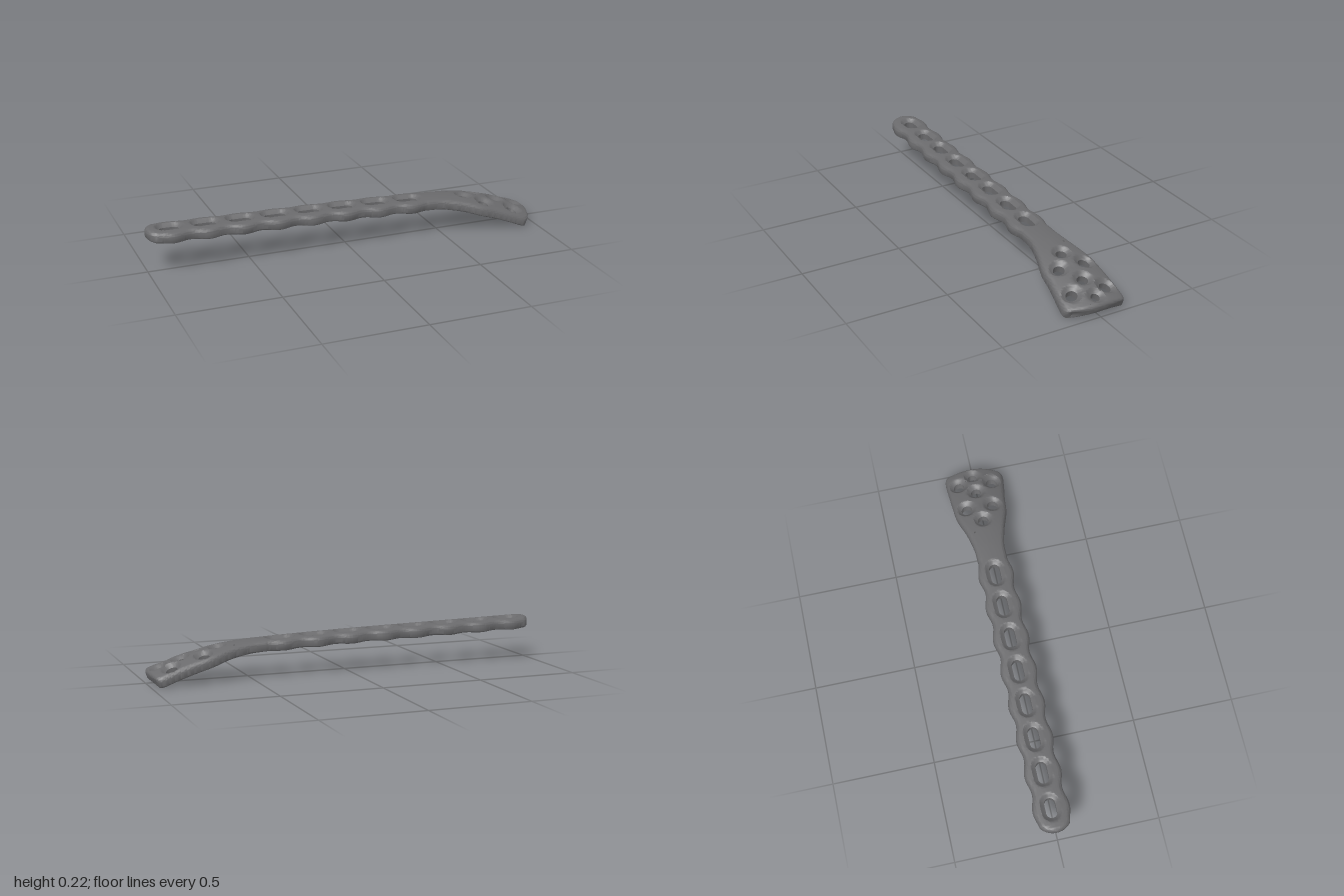
import * as THREE from 'three';
import { toCreasedNormals } from 'three/addons/utils/BufferGeometryUtils.js';

const MID = -0.009;          // z of the plate's long axis
const PITCH = 0.1747;        // spacing of the shaft slots
const FIRST = -0.884;        // x of the first slot
const THICK = 0.05;

// Smooth curve through [x, y] points
function spline(p, x) {
  let i = 0;
  while (i < p.length - 2 && x > p[i + 1][0]) i++;
  const slope = (k) => {
    const a = p[Math.max(k - 1, 0)], b = p[Math.min(k + 1, p.length - 1)];
    return (b[1] - a[1]) / (b[0] - a[0]);
  };
  const [x0, y0] = p[i], [x1, y1] = p[i + 1], d = x1 - x0;
  const t = (x - x0) / d, t2 = t * t, t3 = t2 * t;
  return y0 * (2 * t3 - 3 * t2 + 1) + slope(i) * d * (t3 - 2 * t2 + t)
    + y1 * (3 * t2 - 2 * t3) + slope(i + 1) * d * (t3 - t2);
}

// Height of the top ridge, and the two side outlines of the flared head
const RIDGE = [[-1, 0.232], [-0.5, 0.222], [0, 0.212], [0.45, 0.196], [0.6, 0.183], [0.7, 0.165], [0.8, 0.14], [0.9, 0.11], [1, 0.073]];
const BACK = [[0.42, -0.083], [0.5, -0.086], [0.6, -0.105], [0.71, -0.136], [0.8, -0.143], [0.95, -0.149], [1, -0.149]];
const FRONT = [[0.42, 0.065], [0.5, 0.067], [0.6, 0.09], [0.71, 0.121], [0.8, 0.13], [0.95, 0.15], [1, 0.151]];

// Holes: centre, half length of the straight part, radius, dish width, dish depth
const holes = [];
for (let i = 0; i < 8; i++) {
  holes.push({ x: FIRST + i * PITCH, z: -0.012, l: i ? 0.028 : 0.022, r: 0.026, w: 0.021, d: 0.019 });
}
for (const [x, z, r] of [[0.654, -0.009, 0.026], [0.74, -0.077, 0.027], [0.74, 0.056, 0.027],
  [0.836, -0.009, 0.026], [0.9, -0.088, 0.027], [0.89, 0.082, 0.027], [0.942, -0.009, 0.021]]) {
  holes.push({ x, z, l: 0, r, w: 0.021, d: 0.019 });
}
// Small pin holes
holes.push({ x: 0.585, z: -0.064, l: 0, r: 0.006, w: 0.001, d: 0 });
holes.push({ x: 0.975, z: 0.045, l: 0, r: 0.006, w: 0.001, d: 0 });

const holeDistance = (h, x, z) =>
  Math.hypot(Math.max(Math.abs(x - h.x) - h.l, 0), z - h.z) - h.r;

// Side limits of the plate at u
function sides(u) {
  if (u > 0.426) {
    const d = Math.max(0.03 - (1 - u), 0);
    const inset = 0.03 - Math.sqrt(0.0009 - Math.min(d * d, 0.0009));
    return [spline(BACK, u) + inset, spline(FRONT, u) - inset];
  }
  let half = 0.081 + 0.008 * Math.cos((u - FIRST) / PITCH * Math.PI * 2);
  if (u < -0.911) half = Math.min(half, Math.sqrt(Math.max(0.089 ** 2 - (u + 0.911) ** 2, 0)));
  return [MID - half, MID + half];
}

// Drop of a rounded edge of radius r at distance e from the outline
const roundOff = (e, r) => e >= r ? 0 : r - Math.sqrt(Math.max(r * r - (r - e) ** 2, 0));

// One sample of the plate: top point, bottom point and distance to the nearest hole
function sample(u, v) {
  const [zb, zf] = sides(u);
  const z = (zb + zf) / 2 + v * (zf - zb) / 2;
  const x = u - (v > 0 ? 0.04 : 0.016) * v * v * THREE.MathUtils.smoothstep(u, 0.6, 1);
  let e = Math.min((1 - Math.abs(v)) * (zf - zb) / 2, 1 - u);
  if (u < -0.911) e = Math.min(e, 0.089 - Math.hypot(u + 0.911, z - MID));
  e = Math.max(e, 0);

  let f = Infinity, dish = 0;
  for (const h of holes) {
    const s = holeDistance(h, x, z);
    f = Math.min(f, s);
    const t = THREE.MathUtils.clamp(1 - s / h.w, 0, 1);
    dish = Math.max(dish, h.d * t * (1.3 - 0.3 * t));
  }
  const y = spline(RIDGE, x) - 1.4 * (z - MID) ** 2;
  const slope = (spline(RIDGE, x + 0.01) - spline(RIDGE, x - 0.01)) / 0.02;
  const n = new THREE.Vector2(-slope, 1).normalize();
  const down = (k) => new THREE.Vector3(x - n.x * k, y - n.y * k, z);
  return { u, v, f, top: down(roundOff(e, 0.019) + dish), bottom: down(THICK - roundOff(e, 0.012)) };
}

function plateGeometry() {
  const NU = 340, NV = 36, pos = [];
  const tri = (...p) => p.forEach((q) => pos.push(q.x, q.y, q.z));
  const wall = (a, b) => {
    tri(a.bottom, b.bottom, b.top);
    tri(a.bottom, b.top, a.top);
  };
  // Grid, finer towards the outline
  const grid = [];
  for (let i = 0; i <= NU; i++) {
    const t = -1 + 2 * i / NU, s = Math.min((1 - Math.abs(t)) / 0.06, 1);
    const u = s < 1 ? Math.sign(t) * (1 - 0.06 * (2 * s * s - s ** 3)) : t;
    const row = [];
    for (let j = 0; j <= NV; j++) row.push(sample(u, Math.sin((j / NV - 0.5) * Math.PI)));
    grid.push(row);
  }
  // Point where the line between two samples meets a hole's rim
  const cross = (a, b) => {
    const [p, q] = a.f > b.f ? [a, b] : [b, a], k = p.f / (p.f - q.f);
    return sample(p.u + (q.u - p.u) * k, p.v + (q.v - p.v) * k);
  };
  // Top and bottom skins, cut along the holes, with the hole walls
  const skin = (...c) => {
    const poly = [];
    let leave = null, enter = null;
    c.forEach((a, i) => {
      const b = c[(i + 1) % 3];
      if (a.f > 0) poly.push(a);
      if ((a.f > 0) !== (b.f > 0)) {
        const m = cross(a, b);
        poly.push(m);
        if (a.f > 0) leave = m; else enter = m;
      }
    });
    for (let i = 1; i < poly.length - 1; i++) {
      tri(poly[0].top, poly[i].top, poly[i + 1].top);
      tri(poly[0].bottom, poly[i + 1].bottom, poly[i].bottom);
    }
    if (leave) wall(leave, enter);
  };
  for (let i = 0; i < NU; i++) {
    for (let j = 0; j < NV; j++) {
      const a = grid[i][j + 1], b = grid[i + 1][j + 1], c = grid[i + 1][j], d = grid[i][j];
      skin(a, b, c);
      skin(a, c, d);
    }
    // Long side walls
    wall(grid[i][NV], grid[i + 1][NV]);
    wall(grid[i + 1][0], grid[i][0]);
  }
  // Head end wall
  for (let j = 0; j < NV; j++) wall(grid[NU][j + 1], grid[NU][j]);

  const g = new THREE.BufferGeometry();
  g.setAttribute('position', new THREE.Float32BufferAttribute(pos, 3));
  g.computeBoundingBox();
  g.translate(0, -g.boundingBox.min.y, 0);
  return toCreasedNormals(g, 0.7);
}

export function createModel() {
  const steel = new THREE.MeshStandardMaterial({ color: 0x6a6a6c });
  steel.name = 'dark steel';
  const plate = new THREE.Mesh(plateGeometry(), steel);
  plate.name = 'perforatedPlate';
  const model = new THREE.Group();
  model.name = 'bonePlate';
  model.add(plate);
  return model;
}
